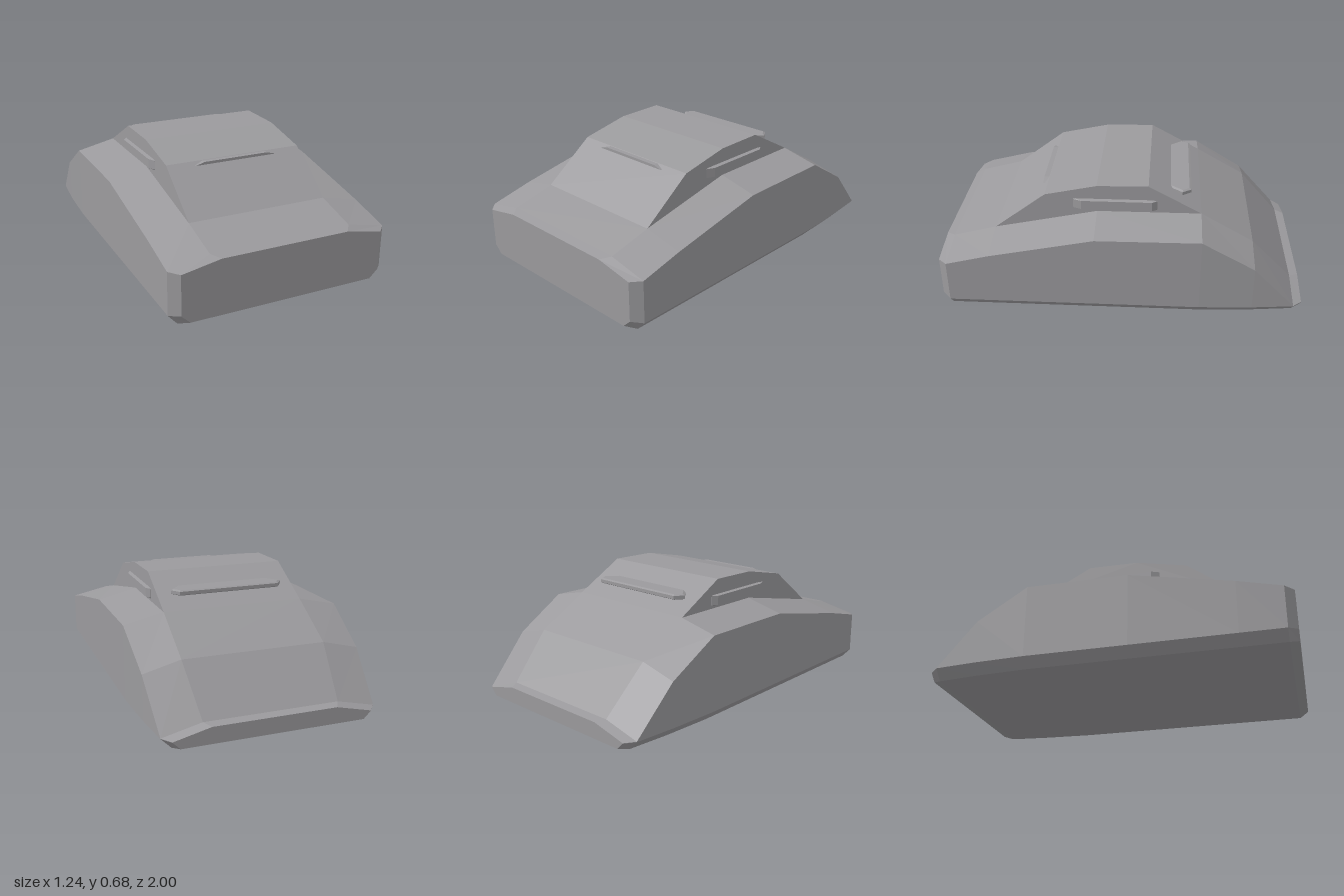
import * as THREE from 'three';

const material = new THREE.MeshStandardMaterial({ color: 0x9b9a9d, flatShading: true });

function addMesh(group, name, geometry) {
  const mesh = new THREE.Mesh(geometry, material);
  mesh.name = name;
  group.add(mesh);
}

// Skins a series of equal-length cross-sections, ordered clockwise seen from +z, front to back
function loft(sections) {
  const n = sections[0].length, last = (sections.length - 1) * n, index = [];
  for (let i = 0; i < sections.length - 1; i++) {
    for (let j = 0; j < n; j++) {
      const k = (j + 1) % n;
      const a = i * n + j, b = i * n + k, c = b + n, d = a + n;
      index.push(a, b, c, a, c, d);
    }
  }
  for (let j = 1; j < n - 1; j++) {
    index.push(0, j + 1, j, last, last + j, last + j + 1);
  }
  const geometry = new THREE.BufferGeometry();
  geometry.setAttribute('position', new THREE.Float32BufferAttribute(sections.flat(2), 3));
  geometry.setIndex(index);
  const flat = geometry.toNonIndexed();
  flat.computeVertexNormals();
  return flat;
}

// Mirrors the +x half of an outline into a full loop
function mirrored(half) {
  return [...half, ...half.map(([x, ...rest]) => [-x, ...rest]).reverse()];
}

function extrude(points, options) {
  const shape = new THREE.Shape(points.map(([x, y]) => new THREE.Vector2(x, y)));
  return new THREE.ExtrudeGeometry(shape, { bevelEnabled: false, ...options });
}

export function createModel() {
  const model = new THREE.Group();
  model.name = 'vehicle';

  // Body: z, shoulder x, top y, half width, side y, sill y, floor half width, floor y
  const stations = [
    [1, 0.36, 0.325, 0.572, 0.285, 0.065, 0.525, 0.02],
    [0.95, 0.4, 0.337, 0.622, 0.29, 0.055, 0.572, 0],
    [0.71, 0.4, 0.4, 0.622, 0.35, 0.055, 0.572, 0],
    [0.14, 0.4, 0.52, 0.622, 0.467, 0.055, 0.572, 0],
    [-0.43, 0.4, 0.522, 0.622, 0.472, 0.055, 0.572, 0],
    [-0.72, 0.4, 0.355, 0.607, 0.302, 0.055, 0.555, 0],
    [-0.95, 0.37, 0.108, 0.585, 0.057, 0.055, 0.53, 0],
    [-1, 0.34, 0.1, 0.54, 0.052, 0.05, 0.5, 0.01],
  ];
  addMesh(model, 'body', loft(stations.map(([z, sx, top, w, side, sill, fw, floor]) =>
    mirrored([[sx, top, z], [w, side, z], [w, sill, z], [fw, floor, z]]))));

  // Cabin: side profile (z, y) extruded across the width
  const cabin = extrude([
    [0.71, 0.4], [0.425, 0.615], [0.14, 0.675], [-0.14, 0.68],
    [-0.43, 0.522], [-0.43, 0.4],
  ], { depth: 0.8 });
  cabin.rotateY(-Math.PI / 2).translate(0.4, 0, 0);
  addMesh(model, 'cabin', cabin);

  // Side rails: thin bars with slanted ends on both cabin walls
  for (const side of [1, -1]) {
    const ring = (z, x) => {
      const half = [[0.39, 0.598, z], [x, 0.592, z], [x, 0.541, z], [0.39, 0.532, z]];
      return side > 0 ? half : half.map(([px, y, pz]) => [-px, y, pz]).reverse();
    };
    addMesh(model, side > 0 ? 'leftRail' : 'rightRail', loft([
      ring(0.27, 0.401), ring(0.225, 0.421), ring(-0.16, 0.421), ring(-0.19, 0.401),
    ]));
  }

  // Rear spoiler: level bevelled plate standing out of the sloping roof
  const spoiler = extrude(mirrored([[0.24, 0.22], [0.325, 0.325], [0.29, 0.375]]), {
    depth: 0.018, bevelEnabled: true, bevelSegments: 1,
    bevelSize: 0.012, bevelOffset: -0.012, bevelThickness: 0.006,
  });
  spoiler.rotateX(-Math.PI / 2).translate(0, 0.591, 0);
  addMesh(model, 'rearSpoiler', spoiler);

  // Windscreen visor: thin ledge with slanted ends at the top of the windscreen
  const visor = extrude(mirrored([[0.19, 0.613], [0.243, 0.598]]), { depth: 0.056 });
  visor.translate(0, 0, 0.4);
  addMesh(model, 'windscreenVisor', visor);

  return model;
}
